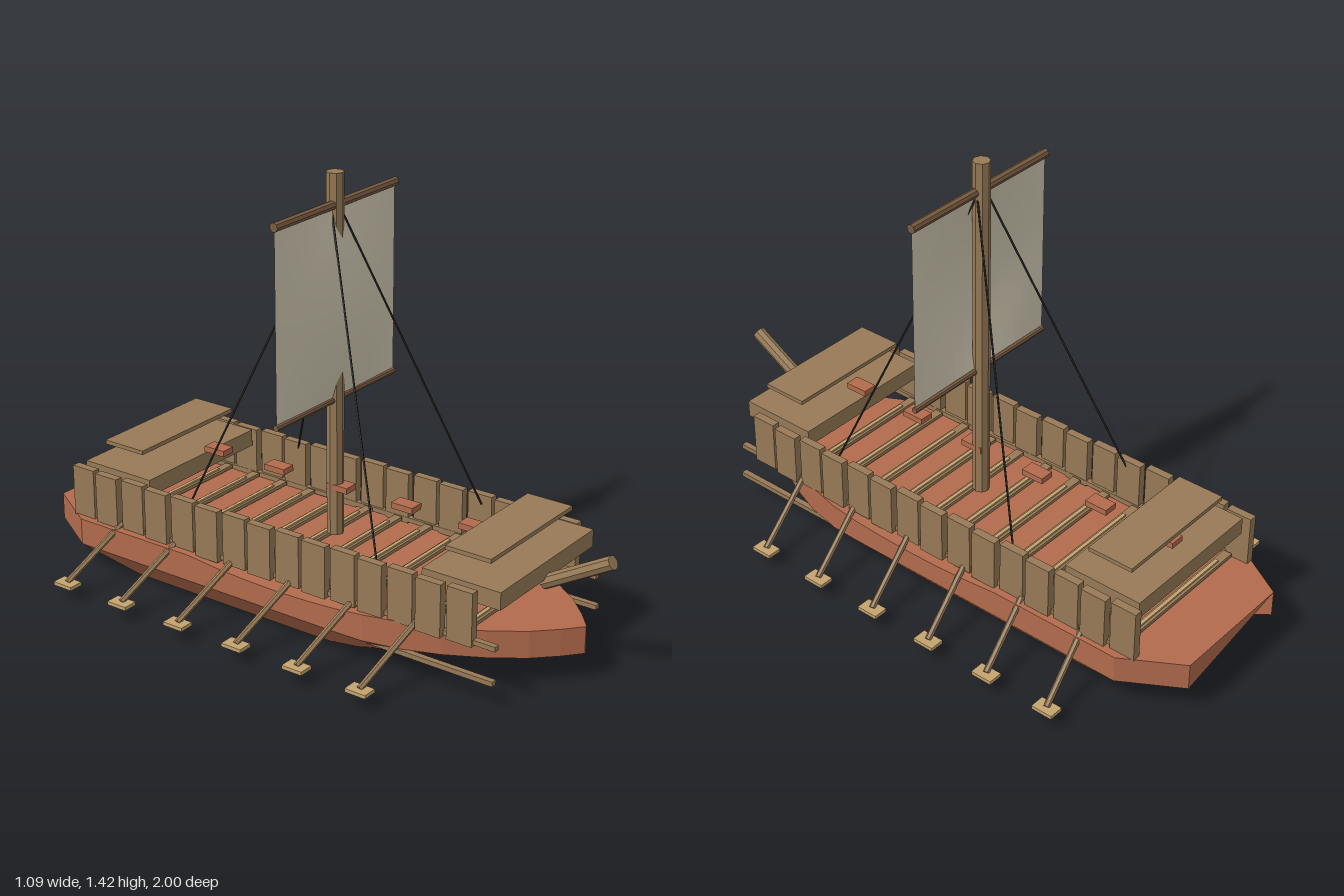
import * as THREE from 'three';

const mat = (name, color) => {
  const m = new THREE.MeshStandardMaterial({ color });
  m.name = name;
  return m;
};

export function createModel() {
  const model = new THREE.Group();
  model.name = 'sailingGalley';
  const red = mat('hullRed', 0xb26b4d);
  const wood = mat('wood', 0x977a56);
  const darkWood = mat('darkWood', 0x7a5c42);
  const paleWood = mat('paleWood', 0xc4a470);
  const cloth = mat('sailCloth', 0xd6ceb6);
  const rope = mat('rope', 0x2e2b28);
  cloth.side = THREE.DoubleSide;
  red.flatShading = true;

  const add = (name, geo, material, x = 0, y = 0, z = 0) => {
    const mesh = new THREE.Mesh(geo, material);
    mesh.name = name;
    mesh.position.set(x, y, z);
    model.add(mesh);
    return mesh;
  };
  const box = (name, material, w, h, d, x, y, z) =>
    add(name, new THREE.BoxGeometry(w, h, d), material, x, y, z);
  // round or faceted bar between two points
  const bar = (name, material, a, b, r, sides = 8) => {
    const from = new THREE.Vector3(...a), to = new THREE.Vector3(...b);
    const dir = to.clone().sub(from);
    const geo = new THREE.CylinderGeometry(r, r, dir.length(), sides).toNonIndexed();
    geo.computeVertexNormals();
    const mesh = add(name, geo, material);
    mesh.position.copy(from).add(to).multiplyScalar(0.5);
    mesh.quaternion.setFromUnitVectors(new THREE.Vector3(0, 1, 0), dir.normalize());
    return mesh;
  };

  // Hull: stations of [z, half width], each with deck, chine and bottom
  const stations = [[-1, 0.22], [-0.81, 0.335], [-0.35, 0.335], [-0.23, 0.335], [-0.12, 0.335], [0, 0.335],
    [0.12, 0.335], [0.23, 0.335], [0.33, 0.332], [0.45, 0.306], [0.57, 0.262], [0.69, 0.198],
    [0.79, 0.128], [0.86, 0.06], [0.91, 0.002]];
  const sections = stations.map(([z, w]) => {
    const top = 0.16 + 0.02 * Math.min(1, (z / 0.35) ** 2);
    const zb = 0.69 * z - 0.07, wb = w * 0.77;
    return [[-w, top, z], [w, top, z], [w, 0.09, z], [wb, 0, zb], [-wb, 0, zb], [-w, 0.09, z]];
  });
  const pos = [];
  const tri = (...pts) => pts.forEach((p) => pos.push(...p));
  for (let i = 0; i < sections.length - 1; i++) {
    for (let k = 0; k < 6; k++) {
      const n = (k + 1) % 6;
      const a = sections[i][k], b = sections[i][n], c = sections[i + 1][n], d = sections[i + 1][k];
      tri(a, d, c);
      tri(a, c, b);
    }
  }
  for (const [s, flip] of [[sections[0], false], [sections.at(-1), true]]) {
    for (let k = 1; k < 5; k++) flip ? tri(s[0], s[k + 1], s[k]) : tri(s[0], s[k], s[k + 1]);
  }
  const hull = new THREE.BufferGeometry();
  hull.setAttribute('position', new THREE.Float32BufferAttribute(pos, 3));
  hull.computeVertexNormals();
  add('hull', hull, red);

  // Mast, bowsprit and yards
  bar('mast', wood, [0, 0.23, -0.015], [0, 1.42, -0.015], 0.028);
  bar('bowsprit', wood, [0, 0.282, 0.76], [0, 0.412, 0.988], 0.023);
  bar('topYard', darkWood, [-0.308, 1.32, -0.01], [0.308, 1.32, -0.01], 0.015);
  bar('bottomYard', darkWood, [-0.308, 0.69, -0.01], [0.308, 0.69, -0.01], 0.01);

  // Sail, billowing forward
  const sail = new THREE.PlaneGeometry(0.61, 0.62, 12, 12);
  const p = sail.attributes.position;
  for (let i = 0; i < p.count; i++) {
    const u = p.getX(i) / 0.61 + 0.5, v = p.getY(i) / 0.62 + 0.5;
    p.setZ(i, 0.05 * Math.sin(Math.PI * u) * Math.sin(Math.PI * v));
  }
  sail.computeVertexNormals();
  add('sail', sail, cloth, 0, 1.0, -0.01);

  // Raised end platforms with their upper boards
  for (const [z, zTop] of [[0.635, 0.635], [-0.703, -0.703]]) {
    box('platform', wood, 0.53, 0.058, 0.275, 0, 0.329, z);
    box('platformBoard', wood, 0.46, 0.014, 0.16, 0, 0.427, zTop);
  }

  // Rowing benches
  for (let i = 0; i < 13; i++) {
    const z = -0.794 + i * 0.1195;
    if (z > 0.7) continue;
    box('bench', wood, 0.54, 0.012, 0.03, 0, 0.195, z);
    box('benchSlat', paleWood, 0.42, 0.006, 0.012, 0, 0.204, z);
  }

  // Small blocks along the centreline
  for (let i = 0; i < 6; i++) box('centreBlock', red, 0.05, 0.02, 0.08, 0, 0.395, 0.507 - i * 0.25);

  for (const s of [-1, 1]) {
    // Side panels
    for (let i = 0; i < 15; i++) {
      const x = s * (0.299 + (i % 2 ? 0.004 : -0.004));
      box('sidePanel', wood, 0.028, 0.175, 0.089, x, 0.264, 0.66 - i * 0.1054);
    }
    // Long side rails
    box('upperRail', wood, 0.02, 0.016, 1.56, s * 0.29, 0.19, 0);
    box('lowerRail', wood, 0.02, 0.016, 1.56, s * 0.3, 0.08, 0);
    // Oars
    for (let i = 0; i < 6; i++) {
      const z = 0.457 - i * 0.2325;
      bar('oarShaft', wood, [s * 0.295, 0.192, z + 0.043], [s * 0.52, 0.054, z], 0.01, 6);
      box('oarBlade', paleWood, 0.05, 0.012, 0.074, s * 0.52, 0.049, z);
    }
    // Rigging
    for (const z of [0.352, -0.385])
      bar('stay', rope, [s * 0.02, 1.31, -0.015], [s * 0.286, 0.32, z], 0.0035, 5);
  }
  return model;
}
